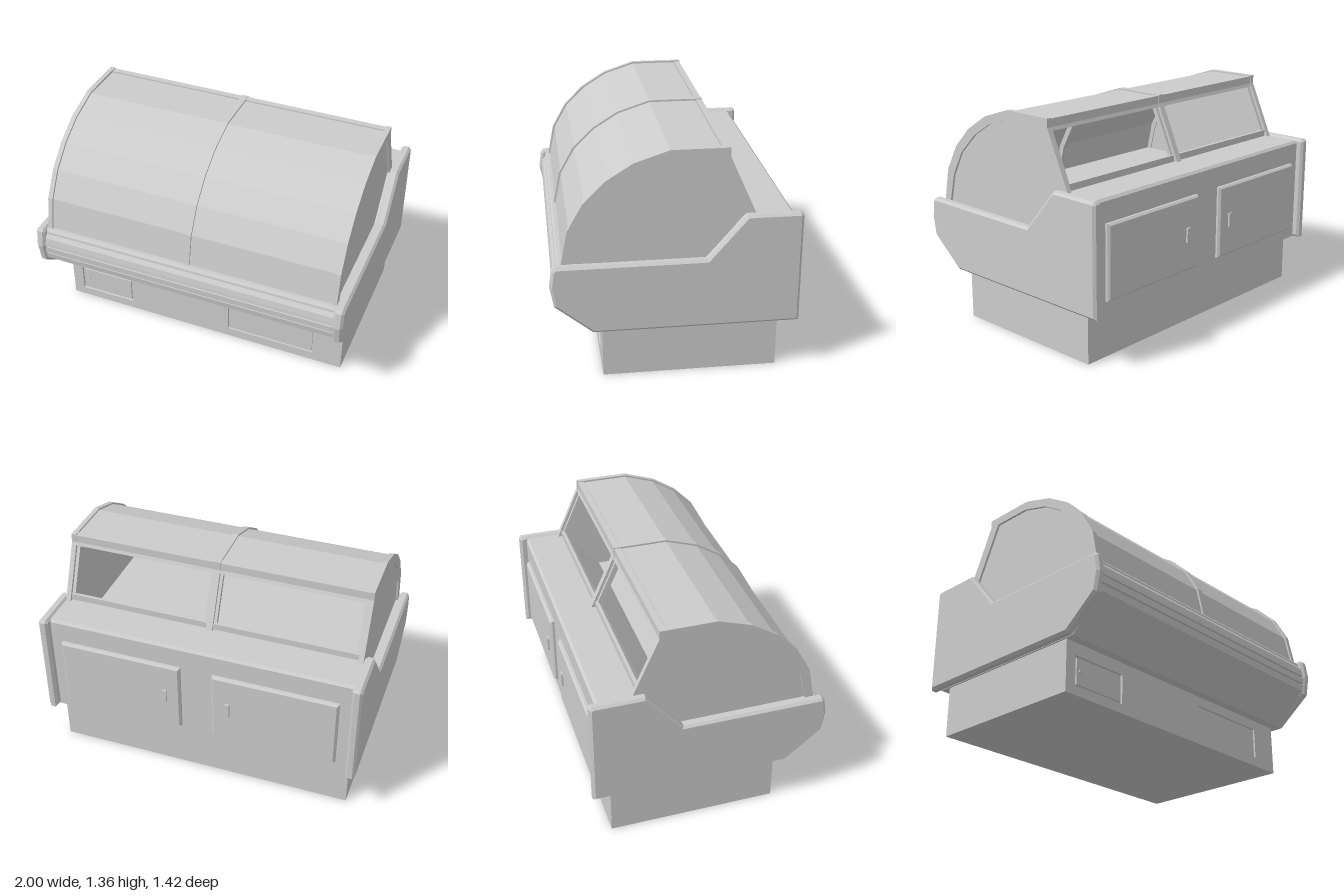
import * as THREE from 'three';

const steel = new THREE.MeshStandardMaterial({ color: 0xcccccc });
steel.name = 'brushed grey';

export function createModel() {
  const model = new THREE.Group();
  model.name = 'displayCounter';

  const add = (name, geometry, x = 0, y = 0, z = 0) => {
    const mesh = new THREE.Mesh(geometry, steel);
    mesh.name = name;
    mesh.position.set(x, y, z);
    model.add(mesh);
    return mesh;
  };
  const box = (name, w, h, d, x, y, z) => add(name, new THREE.BoxGeometry(w, h, d), x, y, z);
  const toShape = pts => new THREE.Shape(pts.map(p => new THREE.Vector2(p[0], p[1])));
  const rect = (x0, y0, x1, y1) => [[x0, y0], [x1, y0], [x1, y1], [x0, y1]];

  // Extrudes a side profile of (z, y) points across x, centred on its own width
  const profile = (name, pts, width, x, bevel = 0, hole = null) => {
    const shape = toShape(pts);
    if (hole) shape.holes.push(toShape(hole));
    const depth = width - 2 * bevel;
    const g = new THREE.ExtrudeGeometry(shape, {
      depth, bevelEnabled: bevel > 0, bevelSize: bevel, bevelThickness: bevel,
      bevelOffset: -bevel, bevelSegments: 1,
    });
    g.translate(0, 0, -depth / 2);
    g.rotateY(-Math.PI / 2);
    return add(name, g, x);
  };

  // Plinth with a front plate cut for the hatch and the vent
  box('plinth', 1.88, 0.32, 1.0, 0, 0.16, -0.095);
  const plate = toShape(rect(-0.94, 0, 0.94, 0.32));
  plate.holes.push(toShape(rect(-0.87, 0.055, -0.5, 0.235)), toShape(rect(0.18, 0.06, 0.75, 0.25)));
  add('plinthFront', new THREE.ExtrudeGeometry(plate, { depth: 0.015, bevelEnabled: false }), 0, 0, 0.405);
  box('hatch', 0.345, 0.155, 0.012, -0.685, 0.145, 0.411);
  box('ventPanel', 0.56, 0.18, 0.008, 0.465, 0.155, 0.409);
  const knob = add('hatchKnob', new THREE.CylinderGeometry(0.012, 0.012, 0.012, 16), -0.83, 0.148, 0.42);
  knob.rotation.x = Math.PI / 2;

  // Cabinet body: ribbed front bumper, flat deck, sloped rear wall and worktop
  profile('cabinetBody', [
    [-0.665, 0.31], [0.475, 0.31], [0.685, 0.505], [0.692, 0.545],
    [0.675, 0.545], [0.675, 0.555], [0.695, 0.555], [0.697, 0.595],
    [0.68, 0.595], [0.68, 0.605], [0.697, 0.605], [0.695, 0.625],
    [0.688, 0.66], [0.67, 0.685], [0.668, 0.7], [0.655, 0.715],
    [-0.17, 0.71], [-0.395, 0.97], [-0.65, 0.97], [-0.665, 0.955],
  ], 1.9, 0);

  // End panels
  const endPanel = [
    [-0.71, 0.31], [0.475, 0.31], [0.69, 0.485], [0.712, 0.605], [0.697, 0.71],
    [0.68, 0.727], [-0.17, 0.727], [-0.39, 0.982], [-0.695, 0.982], [-0.71, 0.967],
  ];
  for (const s of [-1, 1]) profile('endPanel', endPanel, 0.06, s * 0.97, 0.015);

  // Canopy hoops: two ends and one in the middle
  const arcOuter = [
    [0.647, 0.7], [0.605, 0.915], [0.515, 1.075], [0.39, 1.2], [0.235, 1.297], [0.035, 1.363],
  ];
  const arcInner = [
    [0.595, 0.705], [0.55, 0.89], [0.465, 1.045], [0.335, 1.17], [0.2, 1.255], [0.02, 1.31],
  ];
  const hoop = [
    ...arcOuter, [-0.297, 1.363], [-0.297, 1.31], [-0.452, 0.965],
    [-0.388, 0.965], [-0.23, 1.31], ...[...arcInner].reverse(),
  ];
  for (const [x, w] of [[-0.925, 0.03], [0, 0.04], [0.925, 0.03]]) profile('canopyHoop', hoop, w, x);

  // End panes
  const pane = [...arcInner, [-0.23, 1.31], [-0.388, 0.965], [-0.17, 0.705]];
  for (const s of [-1, 1]) profile('endPane', pane, 0.01, s * 0.922);

  // Curved front pane and flat top, set just inside the hoops
  const blend = t => arcOuter.map((p, i) => p.map((v, k) => v + (arcInner[i][k] - v) * t));
  profile('curvedPane', [
    ...blend(0.2), [-0.25, 1.352], [-0.25, 1.34], ...blend(0.42).reverse(),
  ], 1.83, 0);
  profile('topRail', [[-0.255, 1.345], [-0.255, 1.358], [-0.294, 1.358], [-0.294, 1.31],
    [-0.302, 1.29], [-0.275, 1.29], [-0.24, 1.32]], 1.83, 0);
  profile('rearSill', [[-0.38, 0.965], [-0.38, 0.985], [-0.405, 1.01], [-0.425, 1.01], [-0.425, 0.965]], 1.83, 0);

  // Slim sloped jambs beside the two rear openings
  const jamb = [[-0.282, 1.3], [-0.417, 1.0], [-0.39, 1.0], [-0.255, 1.3]];
  for (const x of [-0.9, -0.028, 0.028, 0.9]) profile('rearJamb', jamb, 0.02, x);

  // Rear doors with chamfered edges and upright handles
  for (const s of [-1, 1]) {
    const door = new THREE.ExtrudeGeometry(toShape(rect(-0.385, -0.225, 0.385, 0.225)), {
      depth: 0.014, bevelSize: 0.012, bevelThickness: 0.012, bevelOffset: -0.012, bevelSegments: 1,
    });
    add('rearDoor', door, s * 0.485, 0.605, -0.679);
    box('doorHandle', 0.03, 0.09, 0.012, s * 0.2, 0.605, -0.696);
  }

  return model;
}
